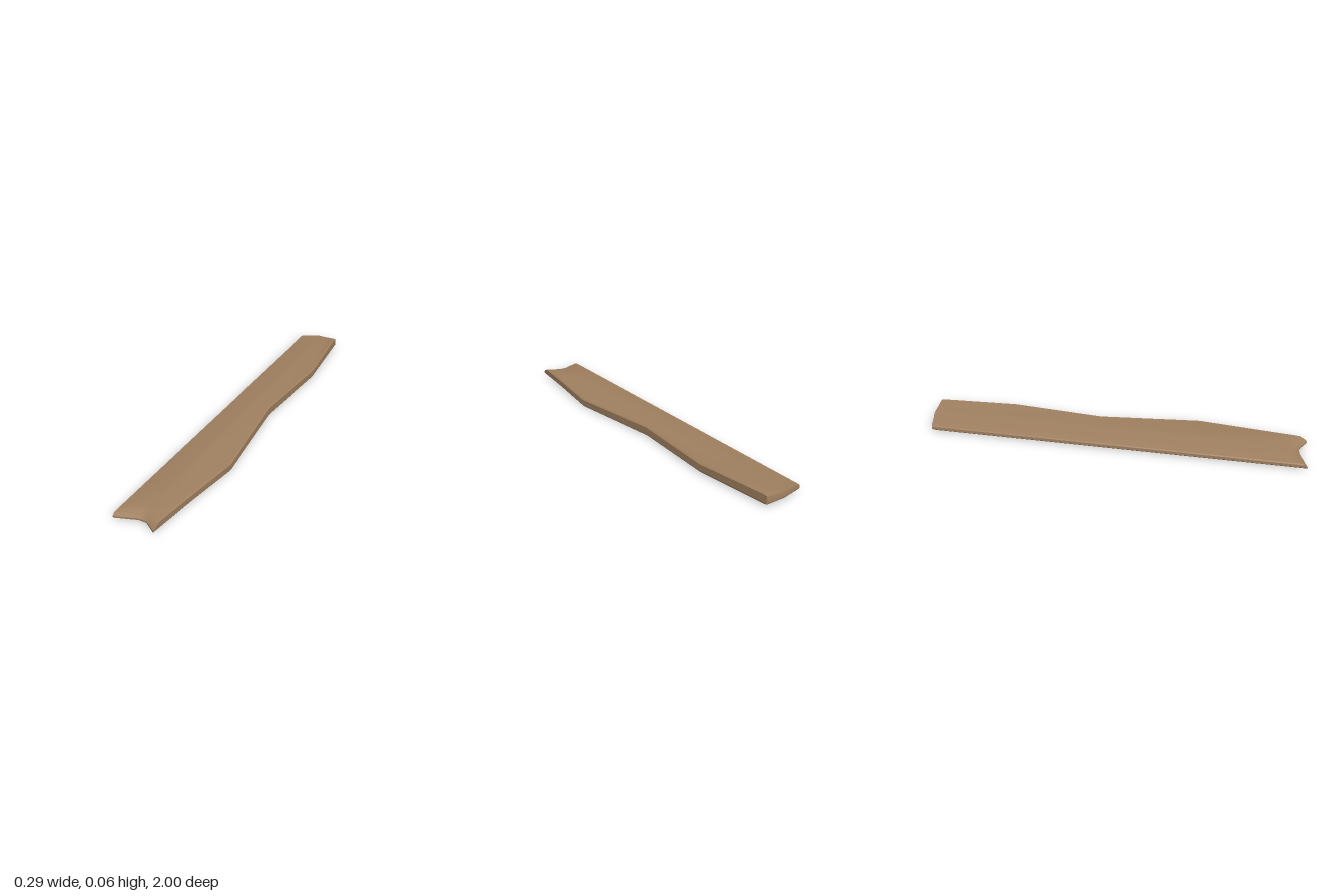
import * as THREE from 'three';
import { toCreasedNormals } from 'three/addons/utils/BufferGeometryUtils.js';

const LEFT = -0.143;

// Stations along the board: z, x of the wavy edge, top and bottom heights at that edge,
// cap on the top height, rise of the underside at the rounded ends
const STATIONS = [
  [-1.0, 0.076, 0.066, 0.012, 0.048, 0.008],
  [-0.997, 0.078, 0.066, 0.012, 0.058, 0.003],
  [-0.98, 0.079, 0.066, 0.012, 1, 0],
  [-0.58, 0.115, 0.055, 0.009, 1, 0],
  [-0.1, 0.079, 0.055, 0.005, 1, 0],
  [0.43, 0.142, 0.045, 0.002, 1, 0],
  [0.73, 0.107, 0.05, 0.011, 1, 0],
  [0.93, 0.085, 0.053, 0.012, 1, 0],
  [0.96, 0.082, 0.053, 0.012, 0.048, 0],
  [0.985, 0.079, 0.053, 0.012, 0.035, 0],
  [1.0, 0.077, 0.053, 0.012, 0.021, 0],
];

// Closed cross-section with small bevels, clockwise seen from the front
function section([z, right, top, bottom, cap, rise]) {
  const profile = [
    [LEFT + 0.004, 0.012], [LEFT, 0.017], [LEFT, 0.033], [LEFT + 0.004, 0.039],
    [-0.03, 0.055], [0.012, 0.055],
    [right - 0.007, top], [right, top - 0.006], [right, bottom + 0.006], [right - 0.004, bottom],
    [0.012, 0.012], [-0.03, 0.012],
  ];
  return profile.map(([x, y]) => {
    // Notch in the front end, slanted left corner at the back end
    const leftPart = THREE.MathUtils.clamp((-0.03 - x) / 0.113, 0, 1);
    const rightPart = THREE.MathUtils.clamp((x - 0.012) / 0.065, 0, 1);
    let shift = 0;
    if (z > 0.9) shift = -0.042 * (1 - Math.max(leftPart, rightPart));
    if (z < -0.9) shift = 0.022 * leftPart;
    const low = (y < 0.0125 ? y : 0.012) + rise;
    return [x, Math.max(low, Math.min(y, cap)), z + shift];
  });
}

function plankGeometry() {
  const rings = STATIONS.map(section);
  const n = rings[0].length;
  const last = rings.length - 1;
  const index = [];
  const quad = (a, b, c, d) => index.push(a, b, c, a, c, d);

  // Skin between neighbouring sections
  for (let i = 0; i < last; i++) {
    for (let p = 0; p < n; p++) {
      const q = (p + 1) % n;
      quad(i * n + p, (i + 1) * n + p, (i + 1) * n + q, i * n + q);
    }
  }
  // End caps
  const f = last * n;
  for (const [a, b, c, d] of [[0, 1, 2, 3], [0, 3, 4, 11], [11, 4, 5, 10], [10, 5, 6, 9], [9, 6, 7, 8]]) {
    quad(a, b, c, d);
    quad(f + d, f + c, f + b, f + a);
  }

  const geometry = new THREE.BufferGeometry();
  geometry.setAttribute('position', new THREE.Float32BufferAttribute(rings.flat(2), 3));
  geometry.setIndex(index);
  return toCreasedNormals(geometry, 0.5);
}

export function createModel() {
  const wood = new THREE.MeshStandardMaterial({ color: 0xa08060 });
  wood.name = 'wood';
  const plank = new THREE.Mesh(plankGeometry(), wood);
  plank.name = 'plank';
  const group = new THREE.Group();
  group.name = 'woodenPlank';
  group.add(plank);
  return group;
}
